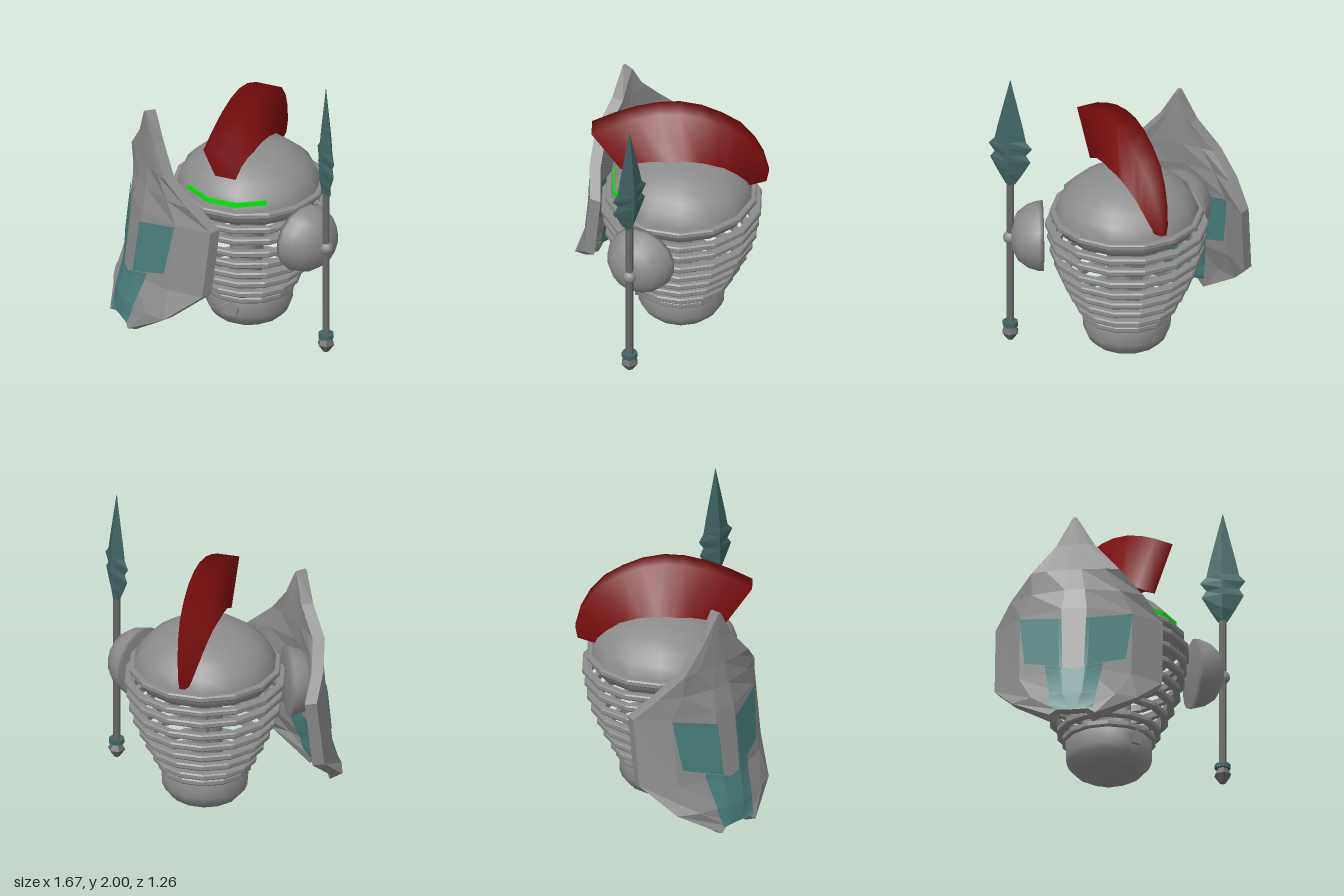
import * as THREE from 'three';

const mat = (color, flat = true) =>
  new THREE.MeshStandardMaterial({ color, flatShading: flat, side: THREE.DoubleSide });
const GREY = mat(0x8c8c8c), SMOOTH = mat(0x8c8c8c, false), DARK = mat(0x686868);
const RED = mat(0x750c0e, false), TEAL = mat(0x487e7c), STEEL = mat(0x426464), GREEN = mat(0x08e008);
const CX = 0.045, CZ = -0.07, SIDES = 14;

function add(parent, name, geo, material, x = 0, y = 0, z = 0) {
  const m = new THREE.Mesh(geo, material);
  m.name = name;
  m.position.set(x, y, z);
  parent.add(m);
  return m;
}

const lathe = (pts, n = SIDES) =>
  new THREE.LatheGeometry(pts.map(p => new THREE.Vector2(p[0], p[1])), n, Math.PI / n);

// Solid skinned over equal-sized closed loops, with strip caps at both ends
function loft(loops) {
  const tris = [], n = loops[0].length;
  const quad = (a, b, c, d) => tris.push(a, b, c, a, c, d);
  for (let i = 0; i < loops.length - 1; i++)
    for (let j = 0; j < n; j++) {
      const k = (j + 1) % n;
      quad(loops[i][j], loops[i][k], loops[i + 1][k], loops[i + 1][j]);
    }
  const first = loops[0], last = loops[loops.length - 1];
  for (let j = 0; j < n / 2 - 1; j++) {
    quad(first[j], first[n - 1 - j], first[n - 2 - j], first[j + 1]);
    quad(last[j], last[j + 1], last[n - 2 - j], last[n - 1 - j]);
  }
  // turn all faces outwards
  let volume = 0;
  for (let i = 0; i < tris.length; i += 3)
    volume += tris[i].clone().cross(tris[i + 1]).dot(tris[i + 2]);
  if (volume < 0)
    for (let i = 0; i < tris.length; i += 3) [tris[i], tris[i + 1]] = [tris[i + 1], tris[i]];
  const g = new THREE.BufferGeometry().setFromPoints(tris);
  g.computeVertexNormals();
  return g;
}
const V = (x, y, z) => new THREE.Vector3(x, y, z);

function helmet() {
  const g = new THREE.Group();
  g.name = 'helmet';
  g.position.set(CX, 0, CZ);
  add(g, 'dome', lathe([[0, 0.94], [0.45, 0.94], [0.465, 1.0], [0.466, 1.05], [0.43, 1.13],
    [0.373, 1.19], [0.285, 1.255], [0.18, 1.293], [0.09, 1.307], [0, 1.31]]), SMOOTH);
  // cage of stacked rings: [height, outer radius]
  [[1.02, 0.5], [0.93, 0.53], [0.84, 0.515], [0.74, 0.5], [0.645, 0.472], [0.55, 0.432],
    [0.46, 0.39], [0.365, 0.342], [0.305, 0.307]].forEach(([y, r]) =>
    add(g, 'cageRing', lathe([[r - 0.045, -0.021], [r - 0.008, -0.021], [r, -0.012], [r, 0.012],
      [r - 0.008, 0.021], [r - 0.045, 0.021], [r - 0.045, -0.021]]), GREY, 0, y));
  add(g, 'base', lathe([[0, 0.005], [0.07, 0.012], [0.12, 0.04], [0.13, 0.058], [0.18, 0.065],
    [0.225, 0.09], [0.265, 0.135], [0.283, 0.18], [0.287, 0.28], [0.26, 0.3], [0, 0.3]]), SMOOTH);
  add(g, 'column', new THREE.CylinderGeometry(0.095, 0.095, 0.66, 12), SMOOTH, 0, 0.62, 0.05)
    .scale.z = 1.5;
  add(g, 'rearFin', loft([[0.95, -0.21], [0.42, -0.1]].map(([y, z]) =>
    [V(-0.05, y, 0), V(0.05, y, 0), V(0.05, y, z), V(-0.05, y, z)])), GREY);
  const stud = add(g, 'frontStud', new THREE.CylinderGeometry(0.055, 0.055, 0.03, 5), GREY, 0, 0.23, 0.285);
  stud.rotation.x = Math.PI / 2;
  stud.rotation.y = Math.PI;
  // glowing eye slit wrapped round the brow
  add(g, 'visor', loft([[-0.28, 1.093, 0.35], [-0.1, 1.08, 0.443], [0.1, 1.08, 0.443], [0.28, 1.093, 0.35]]
    .map(([x, y, z]) => [V(x, y - 0.018, z + 0.005), V(x, y + 0.018, z + 0.002),
      V(x * 0.93, y + 0.018, z - 0.03), V(x * 0.93, y - 0.018, z - 0.03)])), GREEN);
  return g;
}

// Crest sections: outer z, outer y, inner z, inner y, half width
const CREST = [[0.51, 1.52, 0.32, 1.24, 0.072], [0.37, 1.59, 0.22, 1.29, 0.072],
  [0.22, 1.65, 0.11, 1.305, 0.072], [0.07, 1.685, 0, 1.3, 0.072], [-0.06, 1.692, -0.1, 1.3, 0.072],
  [-0.2, 1.665, -0.2, 1.285, 0.072], [-0.33, 1.61, -0.3, 1.25, 0.068], [-0.45, 1.54, -0.38, 1.21, 0.06],
  [-0.54, 1.44, -0.43, 1.16, 0.048], [-0.6, 1.33, -0.47, 1.11, 0.035],
  [-0.635, 1.2, -0.49, 1.09, 0.022], [-0.62, 1.12, -0.5, 1.08, 0.018]];

function crest() {
  const geo = loft(CREST.map(([oz, oy, iz, iy, w]) =>
    [V(-w, oy, oz), V(w, oy, oz), V(w, iy, iz), V(-w, iy, iz)]));
  // soft shading: normals lean sideways and out from the middle of the arc
  const p = geo.attributes.position, n = geo.attributes.normal;
  for (let i = 0; i < p.count; i++) {
    const v = V(0, p.getY(i) - 1.05, p.getZ(i) + 0.06).normalize();
    v.x = Math.sign(p.getX(i)) * 0.9;
    v.normalize();
    n.setXYZ(i, v.x, v.y, v.z);
  }
  return geo;
}

// Shield rows from top to bottom: y, half width, depth of middle panel, depth at rim
const ROWS = [[1.6, 0.012, 0.23, 0.23], [1.41, 0.125, 0.228, 0.212], [1.23, 0.285, 0.232, 0.205],
  [1.08, 0.43, 0.247, 0.11], [0.93, 0.545, 0.28, -0.008], [0.47, 0.545, 0.335, 0.05],
  [0.28, 0.41, 0.385, 0.265], [0.155, 0.15, 0.4, 0.41]];
const PANEL = 0.15, SHOULDER = 0.67; // folds, as fractions of the half width
const COLS = [-1, -SHOULDER, -PANEL, PANEL, SHOULDER, 1];
const FRONT = { inset: 0, shift: 0.02, foot: 0.12 }, BACK = { inset: 0.025, shift: -0.055, foot: 0.09 };

// depth falls away from the flat middle panel, steeper past the shoulder
function shieldDepth(u, y, { inset, shift }) {
  const i = Math.max(0, Math.min(ROWS.length - 2, ROWS.findIndex(r => r[0] <= y) - 1));
  const f = (ROWS[i][0] - y) / (ROWS[i][0] - ROWS[i + 1][0]);
  const [, w, mid, rim] = ROWS[i].map((v, k) => THREE.MathUtils.lerp(v, ROWS[i + 1][k], f));
  const t = Math.min(1, Math.abs(u) / Math.max(0.006, w - inset));
  const q = t < SHOULDER ? 0.4 * Math.max(0, t - PANEL) / (SHOULDER - PANEL)
    : 0.4 + 0.6 * (t - SHOULDER) / (1 - SHOULDER);
  return mid - (mid - rim) * q + shift;
}

function shield() {
  const g = new THREE.Group();
  g.name = 'shield';
  g.position.set(-0.35, 0, 0.135);
  g.rotation.y = -Math.PI / 4 + 0.015;
  const skin = (row, face) => COLS.map(t => {
    const u = t * Math.max(0.006, row[1] - face.inset);
    const y = row[0] < 0.2 && Math.abs(t) === 1 ? face.foot : row[0];
    return V(u, y, shieldDepth(u, row[0], face));
  });
  add(g, 'shieldPlate', loft(ROWS.map(r => [...skin(r, FRONT), ...skin(r, BACK).reverse()])), GREY);
  // inlays as four-cornered patches draped over both faces
  const wing = [[0.07, 0.49], [0.33, 0.575], [0.37, 0.92], [0.08, 0.85]];
  const tail = [[0, 0.158], [0.135, 0.158], [0.19, 0.525], [0, 0.465]];
  for (const corners of [wing, tail]) for (const side of [1, -1]) for (const face of [FRONT, BACK]) {
    const geo = new THREE.PlaneGeometry(1, 1, 12, 12), p = geo.attributes.position;
    for (let i = 0; i < p.count; i++) {
      const a = p.getX(i) + 0.5, b = p.getY(i) + 0.5;
      const [u, y] = [0, 1].map(k => THREE.MathUtils.lerp(
        THREE.MathUtils.lerp(corners[0][k], corners[1][k], a),
        THREE.MathUtils.lerp(corners[3][k], corners[2][k], a), b));
      p.setXYZ(i, side * u, y, shieldDepth(u, y, face) + Math.sign(face.shift) * 0.01);
    }
    geo.computeVertexNormals();
    add(g, 'shieldInlay', geo, TEAL);
  }
  return g;
}

function spear() {
  const g = new THREE.Group();
  g.name = 'spear';
  g.position.set(0.727, 0, 0.25);
  add(g, 'shaft', new THREE.CylinderGeometry(0.025, 0.025, 1.06, 8), DARK, 0, 0.71);
  add(g, 'grip', new THREE.SphereGeometry(0.044, 12, 8), SMOOTH, 0.005, 0.84);
  add(g, 'buttCollar', new THREE.CylinderGeometry(0.052, 0.052, 0.03, 8), STEEL, 0, 0.2);
  add(g, 'butt', lathe([[0, 0.08], [0.02, 0.085], [0.058, 0.14], [0.03, 0.19], [0, 0.19]], 6), DARK);
  // diamond-section blade: height, half width, half thickness
  const blade = loft([[1.235, 0.033, 0.026], [1.32, 0.085, 0.04], [1.415, 0.138, 0.045], [1.46, 0.107, 0.045],
    [1.515, 0.148, 0.045], [1.56, 0.107, 0.043], [1.66, 0.086, 0.036], [2, 0.002, 0.002]].map(([y, w, t]) =>
    [V(w, y, 0), V(0, y, t), V(-w, y, 0), V(0, y, -t)]));
  add(g, 'spearhead', blade, STEEL).rotation.y = -Math.PI / 4;
  return g;
}

export function createModel() {
  const model = new THREE.Group();
  model.add(helmet(), shield(), spear());
  add(model, 'crest', crest(), RED, CX + 0.003);
  // half-dome hands, flat side towards the cage
  for (const side of [1, -1]) {
    const hand = new THREE.Group();
    hand.name = side > 0 ? 'leftHand' : 'rightHand';
    hand.position.set(CX + 0.005 + side * 0.48, 0.84, 0.17);
    hand.rotation.y = side > 0 ? -0.42 : Math.PI + 0.42;
    const dome = add(hand, 'handDome', lathe([[0, 0], [0.23, 0], [0.229, 0.03], [0.207, 0.1],
      [0.158, 0.165], [0.083, 0.202], [0, 0.212]], 16), SMOOTH);
    dome.rotation.z = -Math.PI / 2;
    model.add(hand);
  }
  return model;
}
